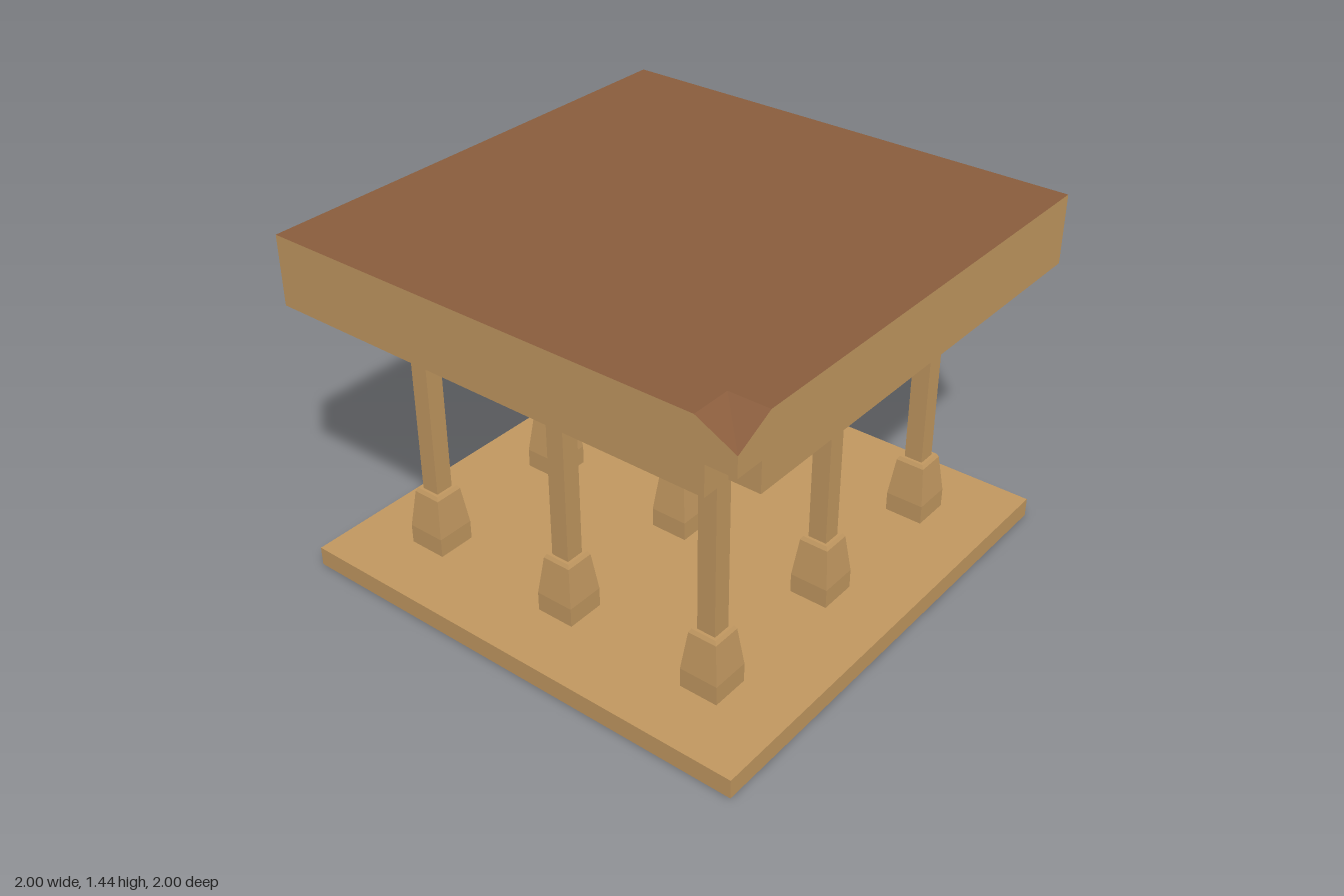
import * as THREE from 'three';

const tan = new THREE.MeshStandardMaterial({ color: 0xc39961 });
tan.name = 'sandyTan';
const brown = new THREE.MeshStandardMaterial({ color: 0x8b5e3e });
brown.name = 'earthBrown';

function addMesh(parent, name, geometry, material) {
  const mesh = new THREE.Mesh(geometry, material);
  mesh.name = name;
  parent.add(mesh);
  return mesh;
}

// Square turned section: profile of [half width, height], bottom to top
function squareTurned(profile) {
  const points = profile.map(([half, y]) => new THREE.Vector2(half * Math.SQRT2, y));
  const geometry = new THREE.LatheGeometry(points, 4, Math.PI / 4).toNonIndexed();
  geometry.computeVertexNormals();
  return geometry;
}

// Flat faces, each fanned out from its first corner
function flatFaces(faces) {
  const positions = [];
  for (const f of faces) {
    for (let i = 1; i < f.length - 1; i++) positions.push(...f[0], ...f[i], ...f[i + 1]);
  }
  const geometry = new THREE.BufferGeometry();
  geometry.setAttribute('position', new THREE.Float32BufferAttribute(positions, 3));
  geometry.computeVertexNormals();
  return geometry;
}

// Mirror a face across the x = z diagonal, keeping it facing outward
function swapped(face) {
  const [first, ...rest] = face.map(([x, y, z]) => [z, y, x]);
  return [first, ...rest.reverse()];
}

export function createModel() {
  const model = new THREE.Group();
  model.name = 'pillaredPlatform';

  // Floor slab
  addMesh(model, 'floorSlab', new THREE.BoxGeometry(2, 0.08, 2), tan).position.y = 0.04;

  // Three by three grid of columns
  const pedestal = squareTurned([[0.08, 0.08], [0.08, 0.16], [0.06, 0.32], [0.052, 0.335], [0.04, 0.335]]);
  const shaft = squareTurned([[0.038, 0.33], [0.038, 1.0]]);
  const capital = squareTurned([[0.038, 0.988], [0.05, 0.988], [0.059, 1.0], [0.059, 1.16]]);
  for (const x of [-0.667, 0, 0.667]) {
    for (const z of [-0.667, 0, 0.667]) {
      const column = new THREE.Group();
      column.name = 'column';
      addMesh(column, 'pedestal', pedestal, tan);
      addMesh(column, 'shaft', shaft, tan);
      addMesh(column, 'capital', capital, tan);
      column.position.set(x, 0, z);
      model.add(column);
    }
  }

  // Roof slab: chipped along the top and notched below at one corner
  const B = 1.16, T = 1.44; // underside and top
  const n = 0.88, N = 1.28; // notch start and ceiling
  const c = 0.84, C = 1.36; // chip start and lowest point
  const front = [[-1, T, 1], [-1, B, 1], [n, B, 1], [n, N, 1], [1, N, 1], [1, C, 1], [c, T, 1]];
  const back = [[1, B, -1], [-1, B, -1], [-1, T, -1], [1, T, -1]];
  const notchWall = [[n, B, n], [1, B, n], [1, N, n], [n, N, n]];
  const notchCeiling = [[n, N, n], [1, N, n], [1, N, 1], [n, N, 1]];
  const underside = [[n, B, n], [n, B, 1], [-1, B, 1], [-1, B, -1], [1, B, -1], [1, B, n]];
  const top = [[c, T, c], [1, T, c], [1, T, -1], [-1, T, -1], [-1, T, 1], [c, T, 1]];
  const chip = [[c, T, c], [1, C, 1], [1, T, c]];

  const roof = new THREE.Group();
  roof.name = 'roofSlab';
  const walls = [front, back, notchWall].flatMap((f) => [f, swapped(f)]);
  addMesh(roof, 'roofSides', flatFaces([...walls, notchCeiling, underside]), tan);
  addMesh(roof, 'roofTop', flatFaces([top, chip, swapped(chip)]), brown);
  model.add(roof);

  return model;
}
